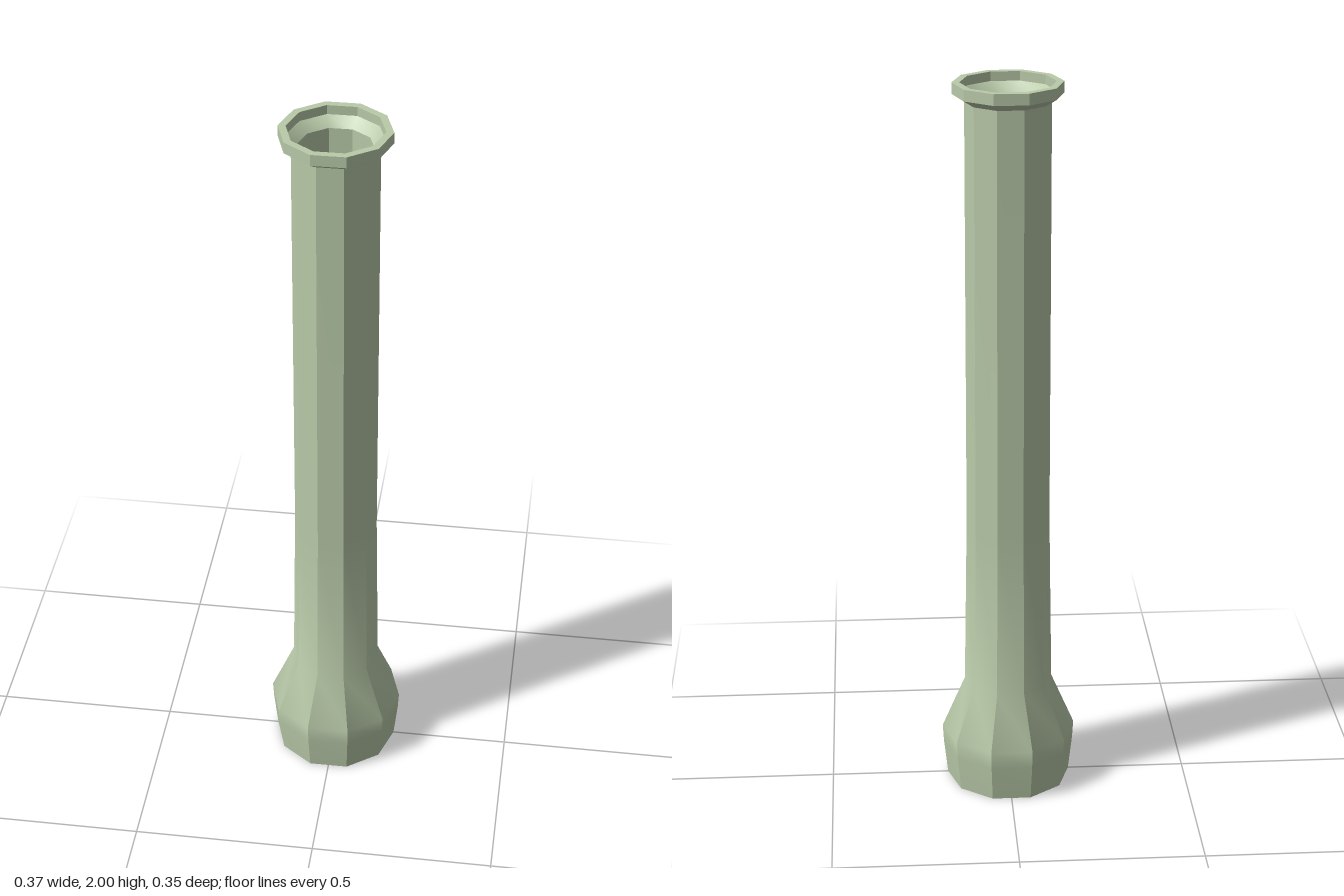
import * as THREE from 'three';
import { toCreasedNormals } from 'three/addons/utils/BufferGeometryUtils.js';

const SIDES = 10;

// Ten-sided turned part with a corner on the +x axis
function turned(name, profile, material) {
  const points = profile.map(([r, y]) => new THREE.Vector2(r, y));
  const lathe = new THREE.LatheGeometry(points, SIDES, Math.PI / 2);
  const mesh = new THREE.Mesh(toCreasedNormals(lathe, Math.PI / 6), material);
  mesh.name = name;
  return mesh;
}

export function createModel() {
  const group = new THREE.Group();
  group.name = 'column';
  const material = new THREE.MeshStandardMaterial({ color: 0xb9caa9 });

  // Closed bulbous foot running into the slightly tapered shaft
  group.add(turned('footAndShaft', [
    [0, 0], [0.172, 0], [0.183, 0.1], [0.186, 0.15], [0.122, 0.3],
    [0.114, 0.78], [0.113, 1.95],
  ], material));

  // Flared collar with a flat lip and a stepped mouth
  group.add(turned('collar', [
    [0.113, 1.95], [0.145, 1.97], [0.145, 2], [0.125, 2],
    [0.125, 1.975], [0.098, 1.95],
  ], material));

  // Hollow inside of the shaft with its floor
  group.add(turned('bore', [[0.098, 1.95], [0.098, 0.3], [0, 0.3]], material));

  return group;
}
